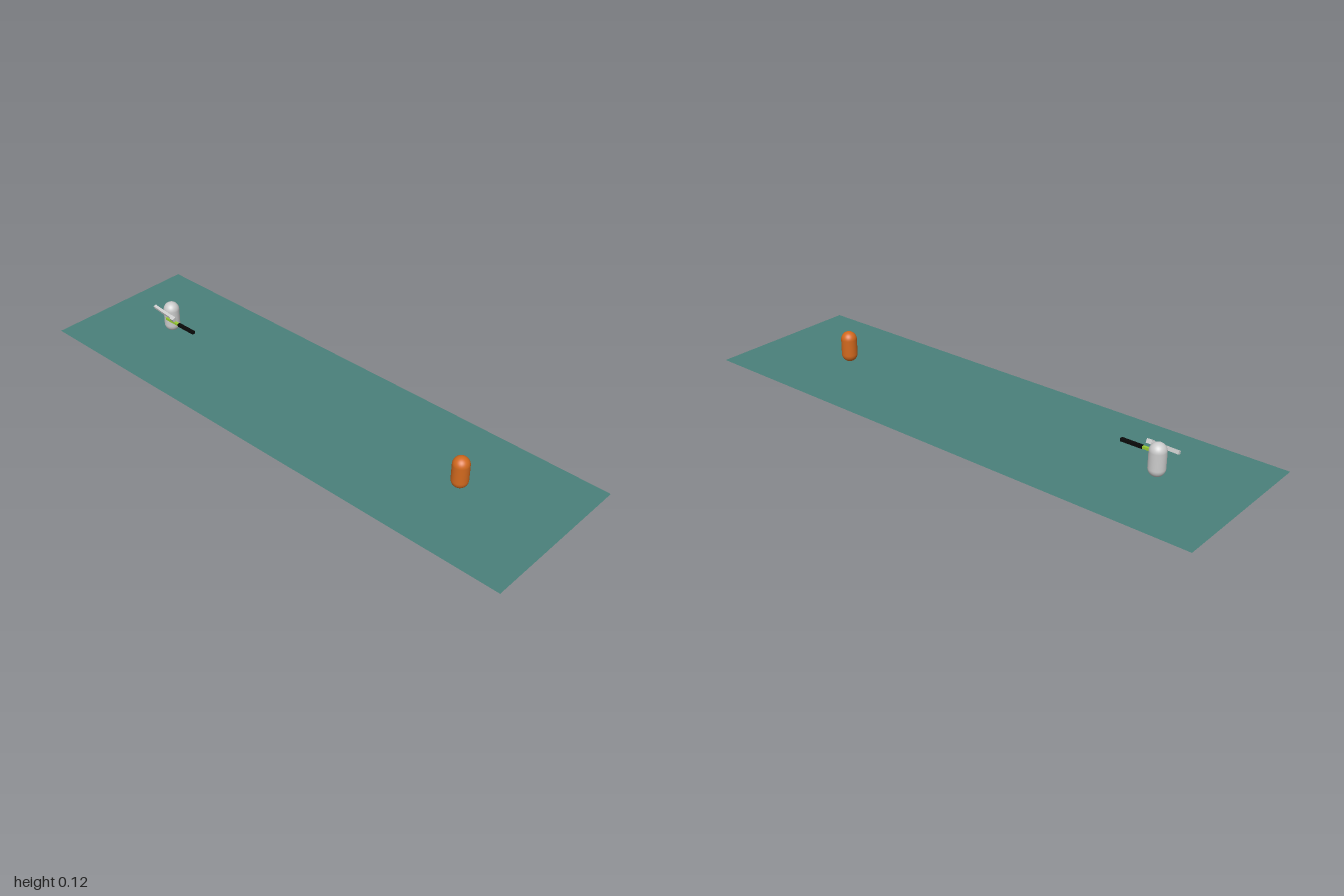
import * as THREE from 'three';

const paint = (color, extra = {}) => new THREE.MeshStandardMaterial({ color, ...extra });

function part(name, geometry, material, x, y, z) {
  const mesh = new THREE.Mesh(geometry, material);
  mesh.name = name;
  mesh.position.set(x, y, z);
  return mesh;
}

// Square bar running from one point to another, rolled about its own length
function bar(name, from, to, thickness, roll, material) {
  const a = new THREE.Vector3(...from), b = new THREE.Vector3(...to);
  const mesh = part(name, new THREE.BoxGeometry(thickness, thickness, a.distanceTo(b)), material, 0, 0, 0);
  mesh.position.copy(a).add(b).multiplyScalar(0.5);
  mesh.lookAt(b);
  mesh.rotateZ(roll);
  return mesh;
}

export function createModel() {
  const model = new THREE.Group();
  model.name = 'arena';

  // Flat floor
  const floor = part('floor', new THREE.PlaneGeometry(2, 0.584),
    paint(0x4a807a, { side: THREE.DoubleSide }), 0, 0, 0);
  floor.rotation.x = -Math.PI / 2;
  model.add(floor);

  // Two facing capsule figures
  const radius = 0.029;
  const capsule = new THREE.CapsuleGeometry(radius, 0.058, 12, 32);
  const fighter = new THREE.Group();
  fighter.name = 'fighter';
  fighter.add(part('fighterBody', capsule, paint(0xcccccc), -0.7, 0.061, 0));
  model.add(fighter, part('opponentBody', capsule, paint(0xd2691e), 0.637, 0.061, 0));

  // Held weapon: green grip and black barrel
  const grey = paint(0xcccccc);
  fighter.add(
    bar('weaponGrip', [-0.695, 0.066, 0.03], [-0.628, 0.066, 0.03], 0.009, 0, paint(0x9acd32)),
    bar('weaponBarrel', [-0.628, 0.066, 0.03], [-0.547, 0.066, 0.03], 0.011, 0, paint(0x0a0a0a)),
  );

  // Slightly slanted arm with a small hand block at its end
  fighter.add(
    bar('arm', [-0.757, 0.091, 0.03], [-0.645, 0.088, 0.039], 0.011, 0.3, grey),
    bar('hand', [-0.657, 0.088, 0.039], [-0.637, 0.087, 0.04], 0.015, 0.5, grey),
  );
  return model;
}
